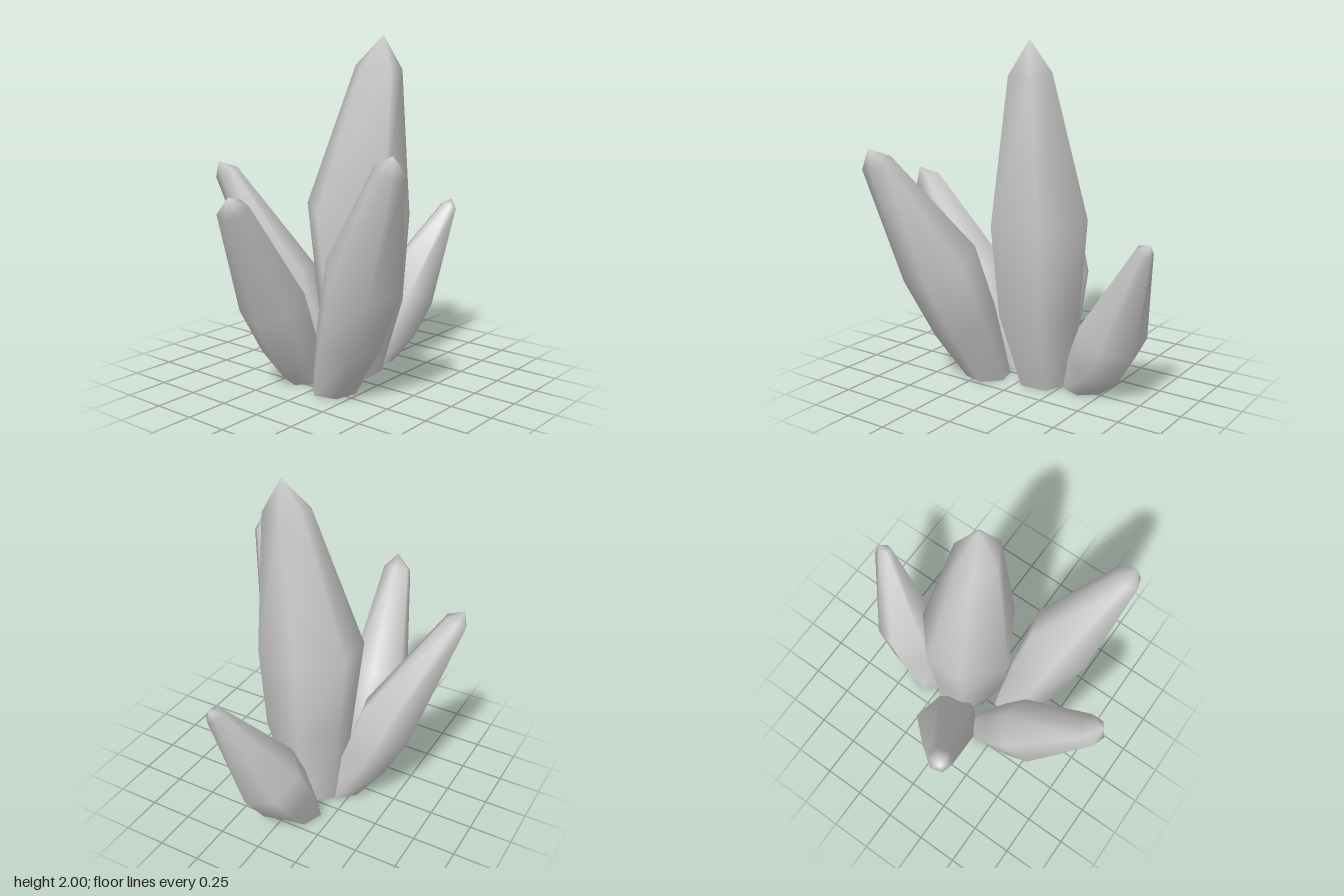
import * as THREE from 'three';

const SIDES = 6;

// One crystal: rings are [x, y, z, radius] from the flat open base upward, closed by a point.
// angles (degrees) place the ridges, counted from +x towards +z.
function crystalGeometry(rings, tip, angles) {
  const base = new THREE.Vector3(...rings[0]);
  const top = new THREE.Vector3(...tip);
  const axis = top.clone().sub(base).normalize();
  const up = new THREE.Vector3(0, 1, 0);
  const positions = [];
  rings.forEach(([x, y, z, r], i) => {
    // the base lies flat on the ground, the others stand square to the axis
    const q = new THREE.Quaternion().setFromUnitVectors(up, i === 0 ? up : axis);
    for (const deg of angles) {
      const a = THREE.MathUtils.degToRad(deg);
      const p = new THREE.Vector3(Math.cos(a) * r, 0, Math.sin(a) * r).applyQuaternion(q);
      positions.push(x + p.x, y + p.y, z + p.z);
    }
  });
  positions.push(...tip);

  const index = [];
  const last = rings.length - 1;
  for (let s = 0; s < SIDES; s++) {
    const n = (s + 1) % SIDES;
    for (let i = 0; i < last; i++) {
      const a = i * SIDES + s, b = i * SIDES + n;
      index.push(a, a + SIDES, b, b, a + SIDES, b + SIDES);
    }
    index.push(last * SIDES + s, rings.length * SIDES, last * SIDES + n);
  }
  const geometry = new THREE.BufferGeometry();
  geometry.setAttribute('position', new THREE.Float32BufferAttribute(positions, 3));
  geometry.setIndex(index);
  geometry.computeVertexNormals();
  return geometry;
}

// Evenly spaced ridges starting at a given angle
const hexagon = (start) => Array.from({ length: SIDES }, (_, i) => start + i * 60);

const CRYSTALS = [
  {
    name: 'mainCrystal',
    rings: [[0.11, 0, -0.02, 0.17], [0.09, 0.48, 0.035, 0.26], [0.08, 1.0, 0.03, 0.305], [0.112, 1.82, 0.155, 0.134]],
    tip: [0.13, 2.0, 0.175],
    angles: [-13, 55, 113, 190, 247, 291],
  },
  {
    name: 'frontCrystal',
    rings: [[-0.22, 0, 0.1, 0.135], [-0.275, 0.37, 0.25, 0.195], [-0.335, 0.74, 0.4, 0.225], [-0.515, 1.345, 0.695, 0.085]],
    tip: [-0.54, 1.425, 0.73],
    angles: hexagon(15),
  },
  {
    name: 'rightCrystal',
    rings: [[-0.18, 0, -0.155, 0.12], [-0.32, 0.25, -0.15, 0.165], [-0.46, 0.53, -0.15, 0.19], [-0.815, 1.11, -0.08, 0.087]],
    tip: [-0.865, 1.185, -0.06],
    angles: hexagon(-10),
  },
  {
    name: 'backCrystal',
    rings: [[0.05, 0, -0.17, 0.12], [0.005, 0.27, -0.31, 0.155], [-0.04, 0.545, -0.415, 0.185], [-0.25, 1.195, -0.71, 0.07]],
    tip: [-0.28, 1.255, -0.745],
    angles: hexagon(-75),
  },
  {
    name: 'leftCrystal',
    rings: [[0.365, 0, -0.055, 0.13], [0.475, 0.2, -0.015, 0.18], [0.585, 0.4, 0.02, 0.2], [0.84, 0.935, 0.175, 0.052]],
    tip: [0.875, 0.977, 0.175],
    angles: hexagon(20),
  },
];

export function createModel() {
  const crystal = new THREE.MeshStandardMaterial({ color: 0xcccccc, side: THREE.DoubleSide });
  crystal.name = 'crystalGrey';

  const group = new THREE.Group();
  group.name = 'crystalCluster';
  for (const { name, rings, tip, angles } of CRYSTALS) {
    const mesh = new THREE.Mesh(crystalGeometry(rings, tip, angles), crystal);
    mesh.name = name;
    group.add(mesh);
  }
  return group;
}
